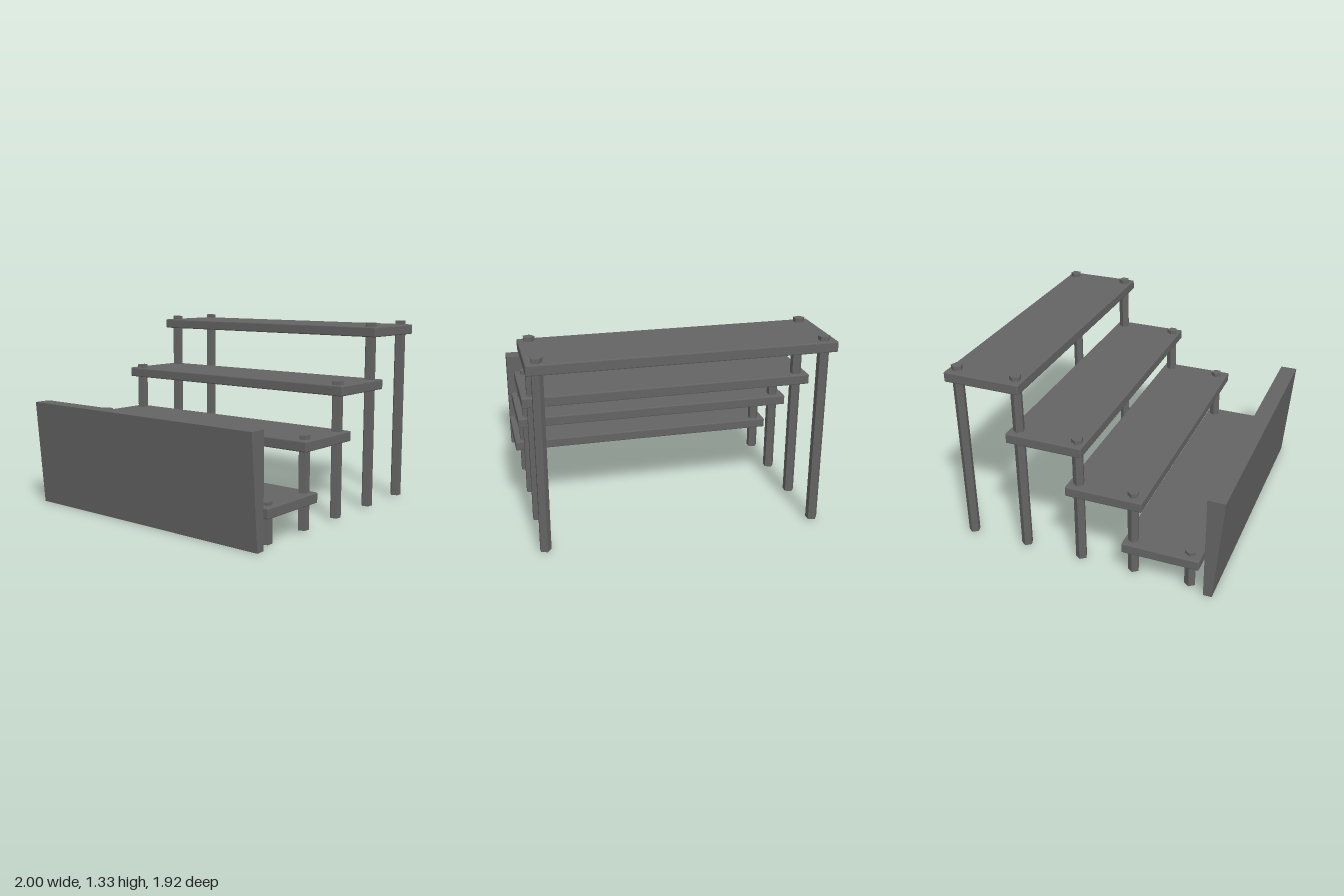
import * as THREE from 'three';
import { RoundedBoxGeometry } from 'three/addons/geometries/RoundedBoxGeometry.js';

const material = new THREE.MeshStandardMaterial({ color: 0x646464, flatShading: true });

function addPart(group, name, geometry, x, y, z) {
  const mesh = new THREE.Mesh(geometry, material);
  mesh.name = name;
  mesh.position.set(x, y, z);
  group.add(mesh);
}

export function createModel() {
  const group = new THREE.Group();
  group.name = 'steppedStand';

  // Shelves with softened edges, lowest to highest: [centre y, centre z]
  const shelves = [[0.224, 0.538], [0.577, 0.142], [0.894, -0.272], [1.267, -0.692]];
  shelves.forEach(([y, z], i) => {
    addPart(group, `shelf${i + 1}`, new RoundedBoxGeometry(2, 0.07, 0.54, 1, 0.007), 0, y, z);
  });

  // Five-sided posts that poke through the shelves: [z, top y]
  const posts = [[0.73, 0.28], [0.329, 0.64], [-0.058, 0.955], [-0.478, 1.33], [-0.905, 1.33]];
  const foot = 0.01;
  posts.forEach(([z, top], i) => {
    for (const [side, x] of [['left', 0.928], ['right', -0.922]]) {
      const post = new THREE.CylinderGeometry(0.04, 0.04, top - foot, 5, 1, false, -Math.PI / 2);
      addPart(group, `${side}Post${i + 1}`, post, x, (top + foot) / 2, z);
    }
  });

  // Front panel: side profile drawn as (-z, y), thicker at the top, extruded across x
  const profile = new THREE.Shape([
    new THREE.Vector2(-0.843, 0),
    new THREE.Vector2(-0.843, 0.75),
    new THREE.Vector2(-0.963, 0.75),
    new THREE.Vector2(-0.903, 0),
  ]);
  const panel = new THREE.ExtrudeGeometry(profile, { depth: 1.991, bevelEnabled: false });
  panel.rotateY(Math.PI / 2);
  addPart(group, 'frontPanel', panel, -0.997, 0, 0);

  return group;
}
